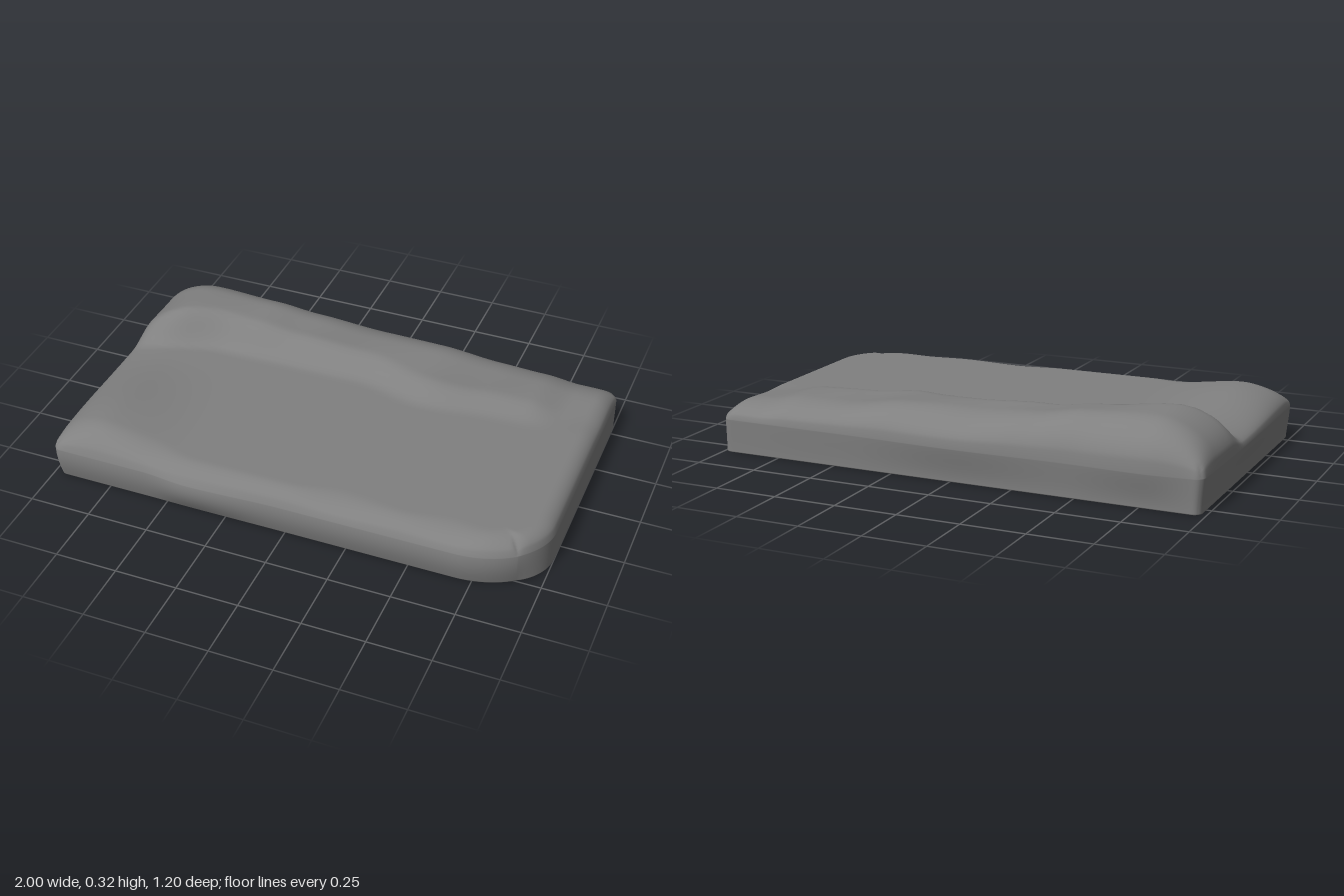
import * as THREE from 'three';
import { mergeVertices } from 'three/addons/utils/BufferGeometryUtils.js';

// smooth interpolation through a short list of [position, value] pairs
function along(points, x) {
  if (x <= points[0][0]) return points[0][1];
  for (let i = 1; i < points.length; i++) {
    const [x0, v0] = points[i - 1], [x1, v1] = points[i];
    if (x <= x1) return v0 + (v1 - v0) * THREE.MathUtils.smoothstep(x, x0, x1);
  }
  return points[points.length - 1][1];
}

const ridgeHeight = [[-0.95, 0.31], [-0.76, 0.32], [-0.5, 0.305], [-0.3, 0.285], [0, 0.265],
  [0.25, 0.26], [0.5, 0.238], [0.7, 0.232], [0.85, 0.205], [1, 0.2]];
const ridgeFoot = [[-0.95, -0.11], [-0.6, -0.185], [-0.3, -0.19], [0, -0.19], [0.3, -0.13], [0.6, -0.16], [1, -0.17]];
const frontLine = [[-1, 0], [-0.6, 0], [-0.4, 0.018], [0, 0.002], [1, 0]];
const backLine = [[-1, 0], [-0.76, 0.02], [-0.45, 0.01], [-0.03, 0.02], [0.5, 0.004], [1, 0]];
const frontSoftness = [[-1, 0.13], [-0.6, 0.12], [-0.4, 0.07], [0, 0.07], [0.2, 0.11], [0.45, 0.08], [0.65, 0.11], [0.8, 0.08], [1, 0.1]];

// flat shelf, swelling at the front left, with a tapering ridge along the back
function topHeight(x, z) {
  const foot = along(ridgeFoot, x);
  const ridge = THREE.MathUtils.smoothstep(-z, -foot, -foot + 0.14);
  const crest = along(ridgeHeight, x) - 0.202;
  const swell = 0.04 * (1 - THREE.MathUtils.smoothstep(x, -0.85, -0.45))
    * THREE.MathUtils.smoothstep(z, -0.08, 0.42);
  const ripple = 0.004 * Math.sin(9 * x + 14 * z) * ridge;
  return 0.202 + swell + ridge * crest + ripple;
}

// quarter-round falloff near an edge
function shoulder(d, r) {
  return d >= r ? 1 : Math.sqrt(Math.max(0, 1 - (1 - d / r) ** 2));
}

// gathers grid lines towards the rim
const gather = (t) => 0.25 * t + 0.75 * Math.sin(t * Math.PI / 2);

function slabGeometry() {
  const geo = new THREE.BoxGeometry(2, 2, 2, 100, 16, 70);
  const pos = geo.attributes.position;
  for (let i = 0; i < pos.count; i++) {
    const u = gather(pos.getX(i)), w = gather(pos.getZ(i));
    const v = (gather(pos.getY(i)) + 1) / 2;
    let x = u, z = w * 0.575;

    // rounded corners in plan, the front right one worn away much more
    const worn = u > 0 && w > 0;
    const rx = worn ? 0.32 : 0.035, rz = worn ? 0.25 : 0.035;
    const a = (Math.abs(x) - (1 - rx)) / rx, b = (Math.abs(z) - (0.575 - rz)) / rz;
    if (a > 0 && b > 0) {
      const k = Math.max(a, b) / Math.hypot(a, b);
      x = Math.sign(x) * (1 - rx + rx * a * k);
      z = Math.sign(z) * (0.575 - rz + rz * b * k);
    }

    // height with softened upper edges
    const left = 1 + u, right = 1 - u, front = 0.575 * (1 - w), back = 0.575 * (1 + w);
    const soft = shoulder(left, 0.22) * shoulder(right, 0.07)
      * shoulder(front, along(frontSoftness, x)) * shoulder(back, 0.15);
    const rim = 0.14;
    const y = 0.006 + v * (rim + (topHeight(x, z) - rim) * soft - 0.006);

    // sides bulge a little and wander
    const bulge = Math.sin(Math.PI * Math.min(1, y / 0.22));
    const lean = THREE.MathUtils.smoothstep(y, 0, 0.18);
    if (w > 0) z += w ** 6 * (-0.012 + 0.022 * bulge + along(frontLine, x) * bulge);
    else z -= w ** 6 * lean * (0.005 + along(backLine, x));
    if (u < 0) x += u ** 6 * (0.02 - 0.02 * lean * (1 - 0.5 * w * w));
    pos.setXYZ(i, x, y, z);
  }
  geo.deleteAttribute('uv');
  geo.deleteAttribute('normal');
  const merged = mergeVertices(geo, 1e-5);
  merged.computeVertexNormals();
  return merged;
}

export function createModel() {
  const group = new THREE.Group();
  group.name = 'stoneSlab';
  const stone = new THREE.MeshStandardMaterial({ color: 0x808080 });
  stone.name = 'grey stone';
  const slab = new THREE.Mesh(slabGeometry(), stone);
  slab.name = 'slab';
  group.add(slab);
  return group;
}
